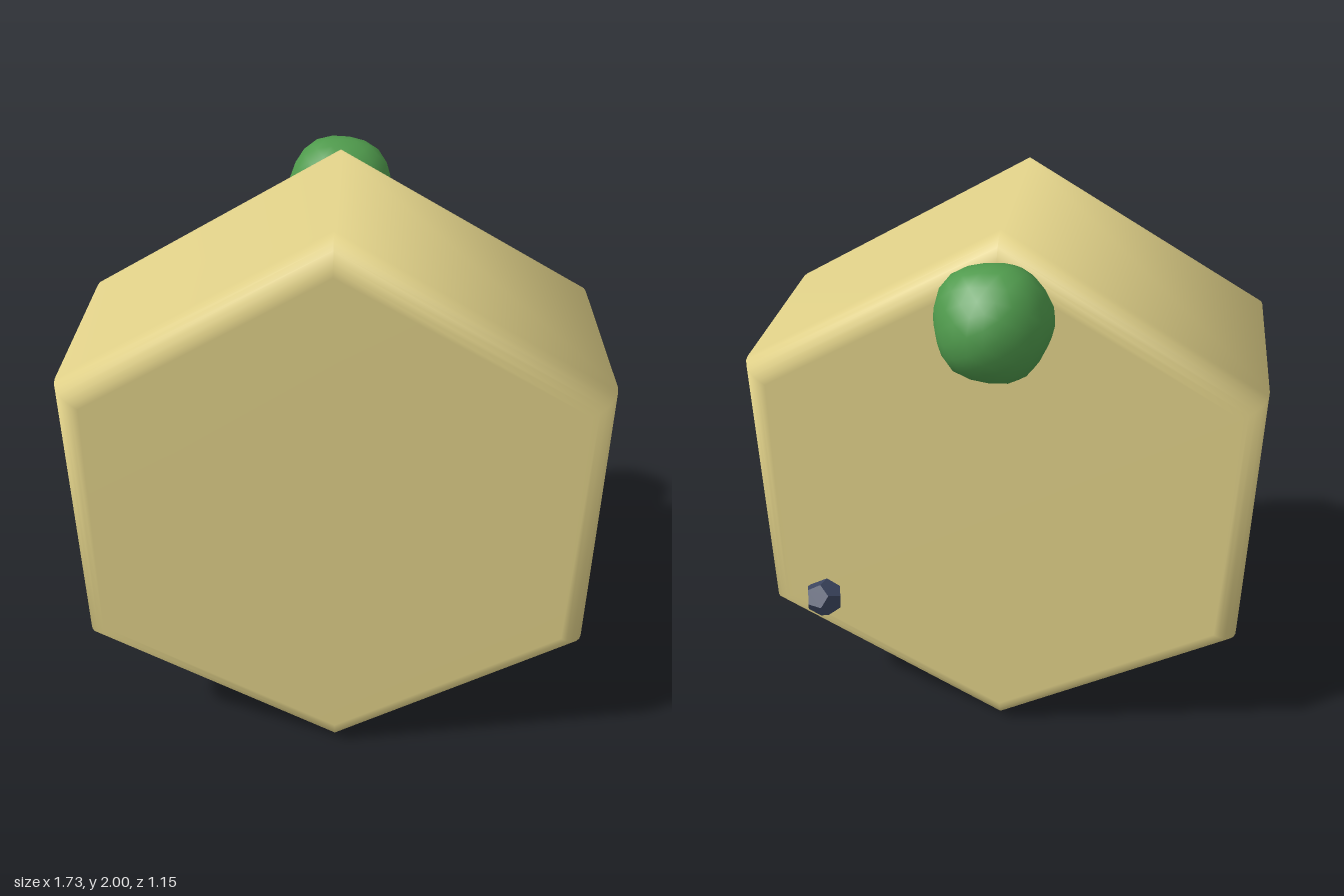
import * as THREE from 'three';
import { mergeVertices } from 'three/addons/utils/BufferGeometryUtils.js';

const FRONT = 0.57, BACK = -0.29, BEVEL = 0.1;

// Hexagonal slab: a six-sided lathe with rounded rims, laid along z
function hexSlab() {
  const profile = [new THREE.Vector2(0, -FRONT)];
  const steps = 6;
  for (const [centre, start] of [[-FRONT + BEVEL, -Math.PI / 2], [-BACK - BEVEL, 0]]) {
    for (let i = 0; i <= steps; i++) {
      const a = start + (i / steps) * Math.PI / 2;
      profile.push(new THREE.Vector2(1 - BEVEL + BEVEL * Math.cos(a), centre + BEVEL * Math.sin(a)));
    }
  }
  profile.push(new THREE.Vector2(0, -BACK));
  return new THREE.LatheGeometry(profile, 6).rotateX(-Math.PI / 2).translate(0, 1, 0);
}

// Slightly lumpy ball with smooth normals
function lumpyBall() {
  let geo = new THREE.IcosahedronGeometry(1, 3);
  geo.deleteAttribute('normal');
  geo.deleteAttribute('uv');
  geo = mergeVertices(geo, 1e-4);
  const p = geo.attributes.position;
  const v = new THREE.Vector3();
  for (let i = 0; i < p.count; i++) {
    v.fromBufferAttribute(p, i);
    v.multiplyScalar(1 + 0.025 * Math.sin(5 * v.x + 1) * Math.cos(4 * v.y) + 0.02 * Math.sin(5 * v.z + 3 * v.y));
    p.setXYZ(i, v.x, v.y, v.z);
  }
  geo.computeVertexNormals();
  return geo;
}

export function createModel() {
  const group = new THREE.Group();
  const add = (name, geometry, color, flatShading = false) => {
    const mesh = new THREE.Mesh(geometry, new THREE.MeshStandardMaterial({ color, flatShading }));
    mesh.name = name;
    group.add(mesh);
    return mesh;
  };

  add('hexTile', hexSlab(), 0xe6d68c);

  // Round bush near the top corner of the back face
  const bush = add('bush', lumpyBall(), 0x4f9a4c);
  bush.scale.set(0.184, 0.186, 0.176);
  bush.position.set(-0.005, 1.787, -0.395);

  // Small faceted stone near the lower side corner
  const stone = add('stone', new THREE.DodecahedronGeometry(0.073), 0x3d4660, true);
  stone.position.set(0.648, 0.58, -0.317);
  stone.rotation.set(0.4, 0.3, 0.5);

  return group;
}
